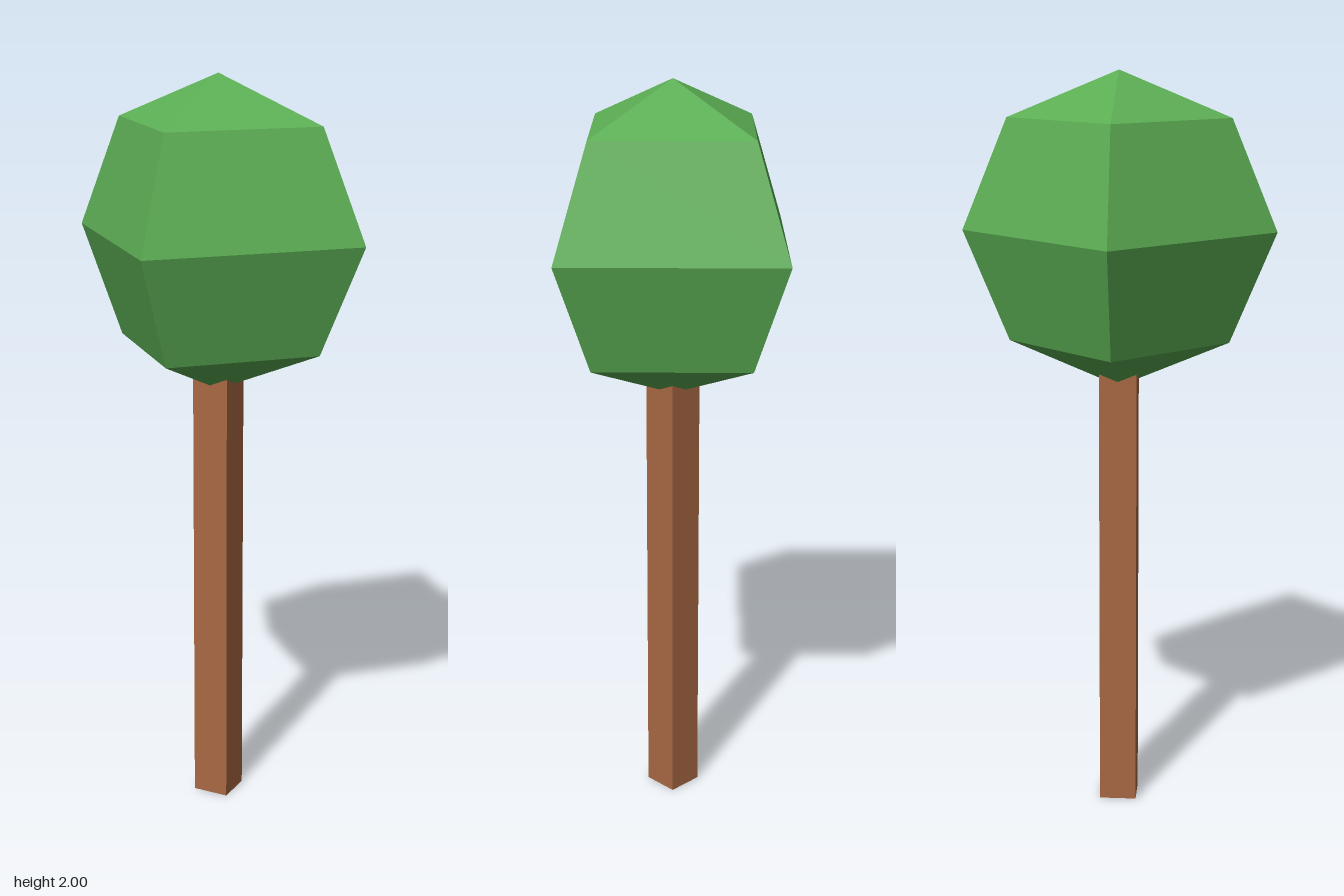
import * as THREE from 'three';

export function createModel() {
  const tree = new THREE.Group();
  tree.name = 'tree';

  const leafGreen = new THREE.MeshStandardMaterial({ color: 0x5cae54 });
  leafGreen.name = 'leafGreen';
  const barkBrown = new THREE.MeshStandardMaterial({ color: 0xa86843 });
  barkBrown.name = 'barkBrown';

  // Square trunk, its top sunk into the crown
  const trunkHeight = 1.24;
  const trunk = new THREE.Mesh(new THREE.BoxGeometry(0.1, trunkHeight, 0.1), barkBrown);
  trunk.name = 'trunk';
  trunk.position.y = trunkHeight / 2;
  tree.add(trunk);

  // Faceted crown: four sides, four bands, flat normals
  const radius = 0.414;
  const facets = new THREE.SphereGeometry(radius, 4, 4).toNonIndexed();
  facets.computeVertexNormals();
  const crown = new THREE.Mesh(facets, leafGreen);
  crown.name = 'crown';
  crown.position.y = 2 - radius;
  tree.add(crown);

  return tree;
}
